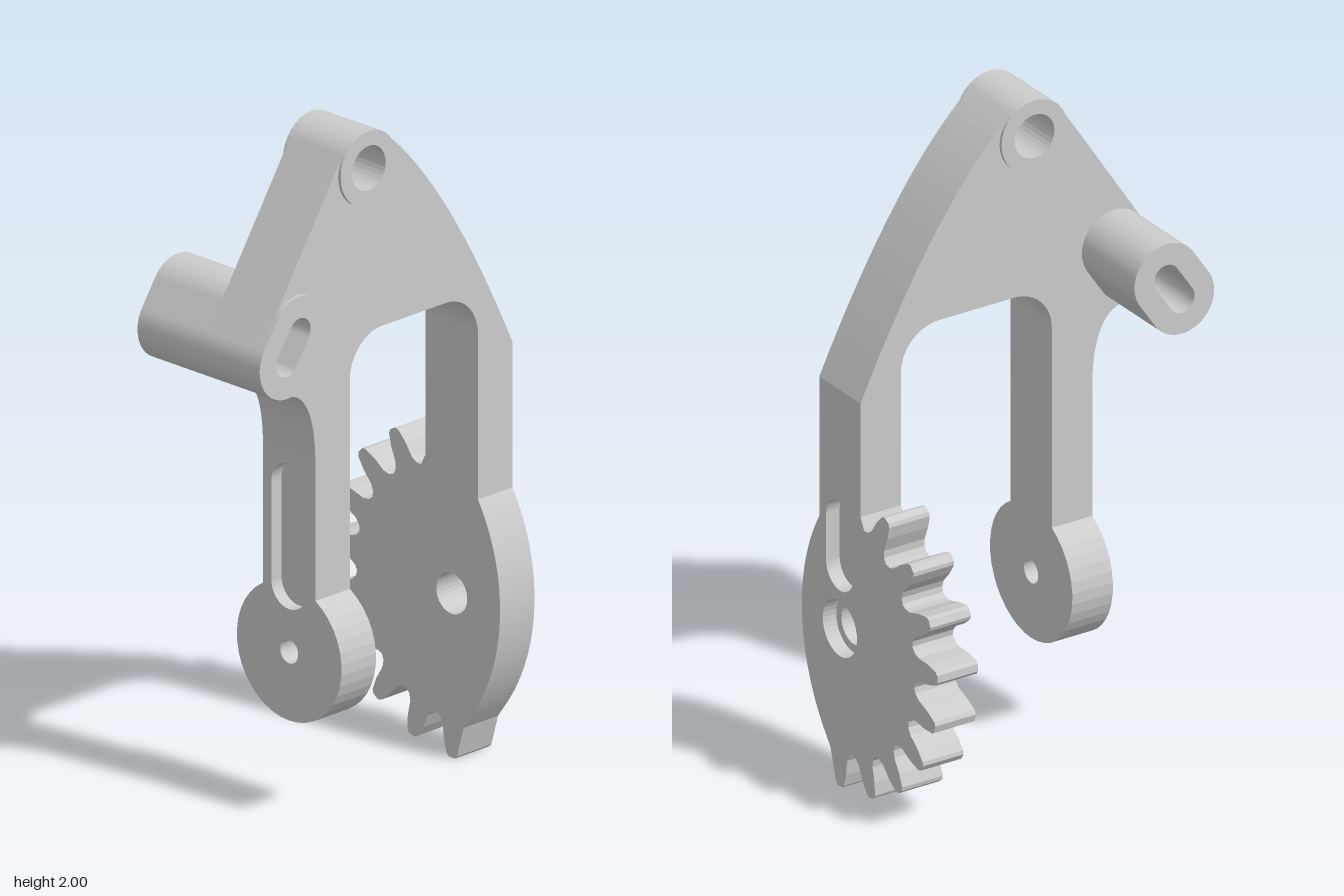
import * as THREE from 'three';

const rad = THREE.MathUtils.degToRad;
const material = new THREE.MeshStandardMaterial({ color: 0xcccccc });

// arm width in x, shared pivot centre, and the z range of each leg
const X0 = 0.052, X1 = 0.256, CX = 0.154, CY = 0.485;
const FRONT = [0.145, 0.28], BACK = [-0.492, -0.357];

function circle(x, y, r, Type = THREE.Path) {
  return new Type().absarc(x, y, r, 0, Math.PI * 2, false);
}

// capsule outline between two centres
function capsule([ax, ay], [bx, by], r, Type = THREE.Path) {
  const a = Math.atan2(by - ay, bx - ax);
  const p = new Type();
  p.absarc(bx, by, r, a - Math.PI / 2, a + Math.PI / 2, false);
  p.absarc(ax, ay, r, a + Math.PI / 2, a + Math.PI * 1.5, false);
  p.closePath();
  return p;
}

function mesh(name, geometry) {
  const m = new THREE.Mesh(geometry, material);
  m.name = name;
  return m;
}

function extrude(shape, depth, holes) {
  shape.holes = holes;
  return new THREE.ExtrudeGeometry(shape, { depth, bevelEnabled: false, curveSegments: 16 });
}

// outline in (x, y), running from z0 to z1
const plateZ = (name, shape, z0, z1, holes) =>
  mesh(name, extrude(shape, z1 - z0, holes).translate(0, 0, z0));

// outline in (z, y), running from x0 to x1
const plateX = (name, shape, x0, x1, holes) =>
  mesh(name, extrude(shape, x1 - x0, holes).rotateY(-Math.PI / 2).translate(x1, 0, 0));

// side profile of the yoke: top eye, slotted corner and two legs
const EYE = [0.081, 1.89], LOW = [0.4035, 1.402], HIGH = [0.3525, 1.478];
function yokeShape() {
  const s = new THREE.Shape();
  s.moveTo(FRONT[0], 1.06);
  s.lineTo(FRONT[1], 1.06);
  s.quadraticCurveTo(FRONT[1], 1.295, LOW[0], 1.295);
  s.absarc(...LOW, 0.107, rad(-90), rad(33.8), false);
  s.absarc(...EYE, 0.11, rad(33.8), rad(130), false);
  s.quadraticCurveTo(-0.236, 1.768, BACK[0], 1.22);
  s.lineTo(BACK[0], 1.15);
  s.lineTo(BACK[1], 1.15);
  s.absarc(BACK[1] + 0.127, 1.278, 0.127, Math.PI, Math.PI / 2, true);
  s.absarc(FRONT[0] - 0.127, 1.278, 0.127, Math.PI / 2, 0, true);
  s.closePath();
  return s;
}

// front leg with its round foot
function footShape() {
  const s = new THREE.Shape();
  s.moveTo(X1, 1.06);
  s.lineTo(X0, 1.06);
  s.absarc(CX, CY, 0.204, rad(120), rad(420), false);
  s.closePath();
  return s;
}

// back leg with the toothed sector on one side and a plain arc on the other
function gearShape() {
  const s = new THREE.Shape();
  const polar = (deg, r) => s.lineTo(CX + r * Math.cos(rad(deg)), CY + r * Math.sin(rad(deg)));
  const pitch = 360 / 19;
  s.moveTo(X1, 1.15);
  s.lineTo(X0, 1.15);
  s.lineTo(X0, 0.87);
  for (let k = 0; k < 9; k++) {
    const a = 270 - (8 - k) * pitch;
    polar(a - pitch / 2, 0.37);
    for (const [d, r] of [[-7, 0.377], [-5.2, 0.395], [-4, 0.44], [-2.4, 0.477], [-1.3, 0.485],
      [1.3, 0.485], [2.4, 0.477], [4, 0.44], [5.2, 0.395], [7, 0.377]]) {
      if (k < 8 || d < 5) polar(a + d, r);
    }
  }
  s.lineTo(0.2, 0.1);
  s.absarc(-0.242, CY, 0.584, rad(-36.8), rad(31.5), false);
  s.closePath();
  return s;
}

export function createModel() {
  const root = new THREE.Group();
  const arm = new THREE.Group();
  arm.name = 'swingArm';
  arm.rotation.y = 0.1585;
  root.add(arm);

  const slot = () => capsule(HIGH, LOW, 0.042);
  const eyeHole = () => circle(...EYE, 0.066);

  // yoke, with thin raised rings around the eye
  arm.add(plateX('yoke', yokeShape(), X0, X1, [eyeHole(), slot()]));
  for (const [x0, x1] of [[X0 - 0.01, X0], [X1, X1 + 0.01]]) {
    arm.add(plateX('eyeRing', circle(...EYE, 0.11, THREE.Shape), x0, x1, [eyeHole()]));
  }

  // slotted tube sticking out sideways
  arm.add(plateX('slottedTube', capsule(HIGH, LOW, 0.107, THREE.Shape), -0.208, X1 + 0.012, [slot()]));

  // front leg: solid inner layer, outer layer with a pocket
  const footHole = () => circle(CX, CY, 0.035);
  const split = FRONT[1] - 0.04;
  arm.add(plateZ('frontLegInner', footShape(), FRONT[0], split, [footHole()]));
  arm.add(plateZ('frontLegOuter', footShape(), split, FRONT[1],
    [footHole(), capsule([CX, 0.68], [CX, 0.97], 0.07)]));

  // gear leg: inner layer with the bore, outer layer with counterbore and pocket
  const gearSplit = BACK[0] + 0.045;
  arm.add(plateZ('gearLegInner', gearShape(), gearSplit, BACK[1], [circle(CX, CY, 0.06)]));
  arm.add(plateZ('gearLegOuter', gearShape(), BACK[0], gearSplit,
    [circle(CX, CY, 0.085), capsule([CX, 0.67], [CX, 0.81], 0.068)]));

  return root;
}
